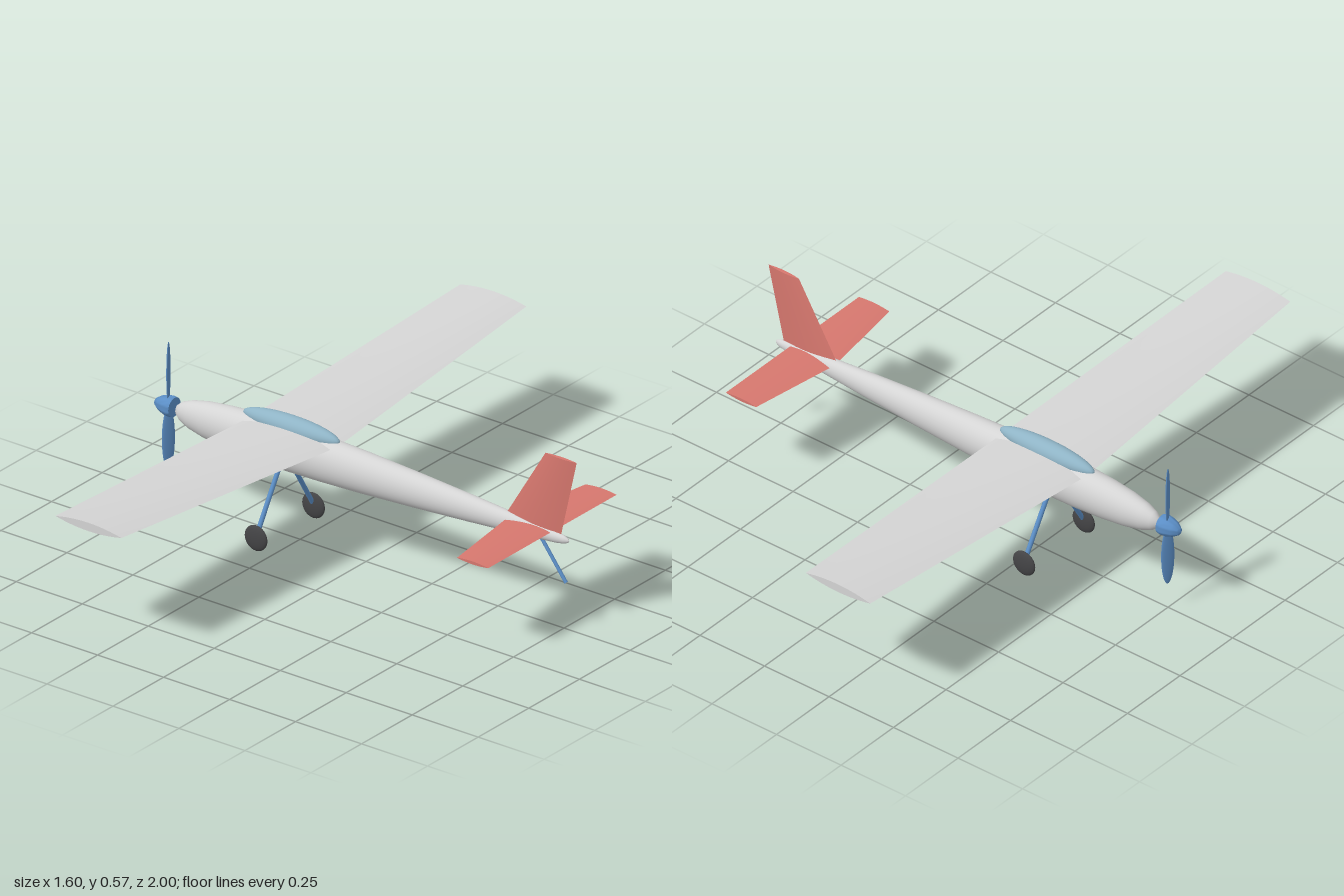
import * as THREE from 'three';
import { toCreasedNormals } from 'three/addons/utils/BufferGeometryUtils.js';

const paint = (name, color) => {
  const m = new THREE.MeshStandardMaterial({ color });
  m.name = name;
  return m;
};

// Lens-section surface lofted through stations { le, te, n }:
// leading edge, trailing edge and half-thickness vector.
function foil(stations, steps = 12) {
  const pos = [];
  const point = (s, i, side) => {
    const u = i / steps;
    return s.le.map((v, k) => v + (s.te[k] - v) * u + s.n[k] * side * 4 * u * (1 - u));
  };
  const quad = (a, b, c, d) => pos.push(...a, ...b, ...c, ...a, ...c, ...d);
  const last = stations.length - 1;
  for (let i = 0; i < steps; i++) {
    for (let j = 0; j < last; j++) {
      const s = stations[j], t = stations[j + 1];
      quad(point(s, i, 1), point(s, i + 1, 1), point(t, i + 1, 1), point(t, i, 1));
      quad(point(s, i, -1), point(t, i, -1), point(t, i + 1, -1), point(s, i + 1, -1));
    }
    // end caps
    const s = stations[0], t = stations[last];
    quad(point(s, i, -1), point(s, i + 1, -1), point(s, i + 1, 1), point(s, i, 1));
    quad(point(t, i, 1), point(t, i + 1, 1), point(t, i + 1, -1), point(t, i, -1));
  }
  const g = new THREE.BufferGeometry();
  g.setAttribute('position', new THREE.Float32BufferAttribute(pos, 3));
  return toCreasedNormals(g, 0.5);
}

// Round rod between two points
function rod(from, to, r) {
  const a = new THREE.Vector3(...from), b = new THREE.Vector3(...to);
  const g = new THREE.CylinderGeometry(r, r, a.distanceTo(b), 12);
  const d = b.clone().sub(a).normalize();
  g.applyQuaternion(new THREE.Quaternion().setFromUnitVectors(new THREE.Vector3(0, 1, 0), d));
  const mid = a.add(b).multiplyScalar(0.5);
  return g.translate(mid.x, mid.y, mid.z);
}

const ellipsoid = (rx, ry, rz) => new THREE.SphereGeometry(1, 32, 20).scale(rx, ry, rz);

export function createModel() {
  const model = new THREE.Group();
  model.name = 'airplane';
  const silver = paint('silver', 0xd4d4d4);
  const glass = paint('canopy blue', 0x8fb4c6);
  const blue = paint('blue', 0x5b8ec6);
  const red = paint('red', 0xd6776e);
  const rubber = paint('rubber', 0x444446);

  const add = (name, geometry, material, x = 0, y = 0, z = 0) => {
    const mesh = new THREE.Mesh(geometry, material);
    mesh.name = name;
    mesh.position.set(x, y, z);
    model.add(mesh);
    return mesh;
  };

  // Fuselage: revolved about x, squeezed sideways
  const profile = [
    [0.77, 0], [0.765, 0.007], [0.75, 0.013], [0.72, 0.018], [0.6, 0.028], [0.4, 0.043],
    [0.2, 0.056], [0, 0.067], [-0.15, 0.073], [-0.3, 0.076], [-0.42, 0.074], [-0.52, 0.068],
    [-0.6, 0.059], [-0.66, 0.046], [-0.695, 0.032], [-0.713, 0.017], [-0.72, 0],
  ].map(([x, r]) => new THREE.Vector2(r, -x));
  const body = new THREE.LatheGeometry(profile, 40).rotateZ(Math.PI / 2).scale(1, 1, 0.78);
  add('fuselage', body, silver, 0, 0.296, 0);

  // Tapered wing with dihedral
  const wingTip = (z) => ({ le: [-0.41, 0.418, z], te: [-0.16, 0.418, z], n: [0, 0.014, 0] });
  const wingRoot = { le: [-0.442, 0.351, 0], te: [-0.108, 0.351, 0], n: [0, 0.018, 0] };
  add('wing', foil([wingTip(1), wingRoot, wingTip(-1)]), silver);

  add('canopy', ellipsoid(0.182, 0.036, 0.035), glass, -0.282, 0.367, 0);

  // Tail surfaces
  const stabTip = (z) => ({ le: [0.588, 0.31, z], te: [0.706, 0.31, z], n: [0, 0.005, 0] });
  const stabRoot = { le: [0.54, 0.31, 0], te: [0.706, 0.31, 0], n: [0, 0.007, 0] };
  add('tailplane', foil([stabTip(0.317), stabRoot, stabTip(-0.317)]), red);
  add('fin', foil([
    { le: [0.53, 0.318, 0], te: [0.738, 0.305, 0], n: [0, 0, 0.008] },
    { le: [0.68, 0.566, 0], te: [0.798, 0.566, 0], n: [0, 0, 0.006] },
  ]), red);

  // Spinner with rounded tip
  const nose = [[0, 0], [0.031, 0], [0.033, 0.012], [0.031, 0.028], [0.024, 0.05], [0.012, 0.068], [0, 0.074]]
    .map(([r, y]) => new THREE.Vector2(r, y));
  const spinner = toCreasedNormals(new THREE.LatheGeometry(nose, 28).rotateZ(Math.PI / 2), 0.7);
  add('spinner', spinner, blue, -0.726, 0.3, 0);

  // Oppositely pitched propeller blades
  for (const s of [1, -1]) {
    const blade = add('propellerBlade', ellipsoid(0.005, 0.103, 0.022), blue, -0.749, 0.3 + s * 0.109, 0);
    blade.rotation.y = s * 0.45;
  }

  // Main landing gear
  for (const s of [1, -1]) {
    add('landingGearLeg', rod([-0.308, 0.25, s * 0.018], [-0.308, 0.045, s * 0.142], 0.0075), blue);
    add('wheel', ellipsoid(0.042, 0.042, 0.012), rubber, -0.308, 0.042, s * 0.142);
  }

  add('tailSkid', rod([0.655, 0.29, 0], [0.758, 0.154, 0], 0.006), blue);
  return model;
}
